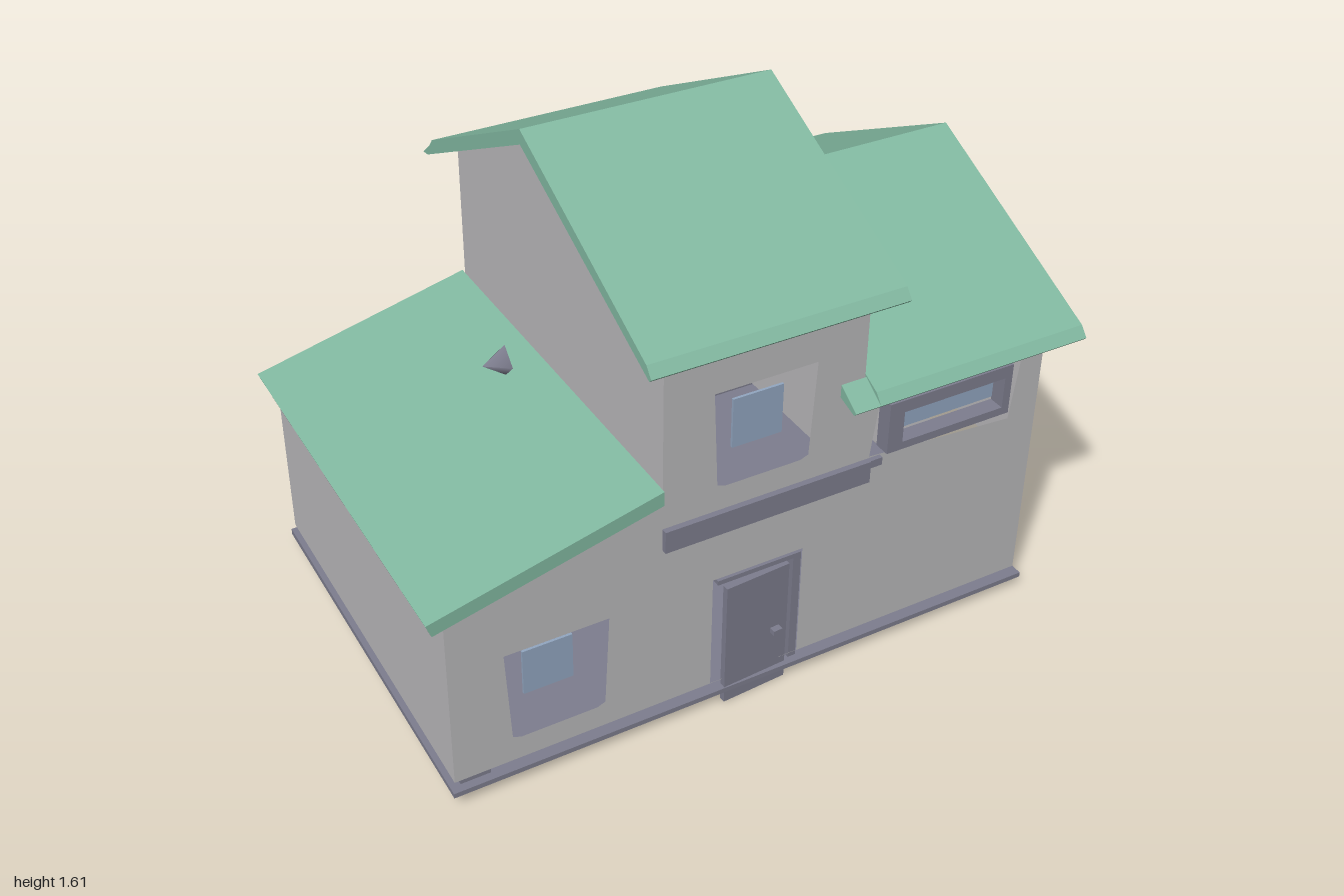
import * as THREE from 'three';

const mat = (name, color, side = THREE.FrontSide) => {
  const m = new THREE.MeshStandardMaterial({ color, side });
  m.name = name;
  return m;
};

export function createModel() {
  const house = new THREE.Group();
  house.name = 'house';
  const wall = mat('wall grey', 0xbab9bb, THREE.DoubleSide);
  const green = mat('roof green', 0x82b9a1);
  const dark = mat('slate trim', 0x7e7e8f);
  const blue = mat('window blue', 0x93a7c1);

  const shape = (pts, holes = []) => {
    const s = new THREE.Shape(pts.map(p => new THREE.Vector2(...p)));
    holes.forEach(h => s.holes.push(new THREE.Path(h.map(p => new THREE.Vector2(...p)))));
    return s;
  };
  const rect = (x0, x1, y0, y1) => [[x0, y0], [x1, y0], [x1, y1], [x0, y1]];
  // Opening with slightly softened lower corners
  const opening = (x0, x1, y0, y1) => [
    [x0 + 0.015, y0 + 0.01], [x0 + 0.04, y0], [x1 - 0.04, y0], [x1 - 0.015, y0 + 0.01], [x1, y1], [x0, y1]];
  const add = (name, geo, material, x = 0, y = 0, z = 0) => {
    const m = new THREE.Mesh(geo, material);
    m.name = name;
    m.position.set(x, y, z);
    house.add(m);
    return m;
  };
  const box = (name, material, x0, x1, y0, y1, z0, z1) =>
    add(name, new THREE.BoxGeometry(x1 - x0, y1 - y0, z1 - z0), material,
      (x0 + x1) / 2, (y0 + y1) / 2, (z0 + z1) / 2);
  const extrude = (s, depth) => new THREE.ExtrudeGeometry(s, { depth, bevelEnabled: false });
  // Profile given as (z, y), swept from x0 to x1
  const sweepX = (name, material, pts, x0, x1) =>
    add(name, extrude(shape(pts), x1 - x0).rotateY(-Math.PI / 2), material, x1);
  // Flat wall given as (z, y), standing at x
  const sideWall = (name, pts, x, holes) =>
    add(name, new THREE.ShapeGeometry(shape(pts, holes)).rotateY(-Math.PI / 2), wall, x);

  const FRONT = 0.72, BACK = -0.53, RIDGE = 0.09;

  // Front and back walls with open windows and doors
  const outline = [[-0.95, 0.08], [0.92, 0.08], [0.92, 0.95], [0.3, 0.95], [0.3, 1.26],
    [-0.32, 1.26], [-0.32, 0.8], [-0.95, 0.645]];
  const upperHoles = [
    opening(-0.17, 0.145, 0.775, 1.08),
    [[0.335, 0.705], [0.82, 0.67], [0.845, 0.885], [0.36, 0.905]]];
  add('frontWall', new THREE.ShapeGeometry(shape(outline, [...upperHoles,
    opening(-0.79, -0.48, 0.155, 0.46), rect(-0.16, 0.13, 0.081, 0.46)])), wall, 0, 0, FRONT);
  add('backWall', new THREE.ShapeGeometry(shape(outline, [...upperHoles,
    opening(0.47, 0.77, 0.155, 0.46), rect(-0.14, 0.15, 0.081, 0.46),
    rect(-0.79, -0.35, 0.081, 0.46)])), wall, 0, 0, BACK);

  // Gabled side walls
  const gable = (y0, eave, peak) => [[BACK, y0], [FRONT, y0], [FRONT, eave], [RIDGE, peak], [BACK, eave]];
  sideWall('wingGableWall', gable(0.08, 0.935, 1.26), 0.92, [opening(0.25, 0.555, 0.16, 0.46)]);
  sideWall('towerGableWallLeft', gable(0.63, 1.25, 1.57), 0.3);
  sideWall('towerGableWallRight', gable(0.63, 1.25, 1.57), -0.32);
  sideWall('shedWall', rect(BACK, FRONT, 0.08, 0.645), -0.95);

  // Gabled roofs and the lean-to roof
  const roofProfile = top => [[0.79, top - 0.375], [0.8, top - 0.365], [0.775, top - 0.335], [RIDGE, top],
    [-0.53, top - 0.305], [-0.55, top - 0.33], [-0.605, top - 0.375], [-0.57, top - 0.37], [RIDGE, top - 0.045]];
  sweepX('towerRoof', green, roofProfile(1.61), -0.4, 0.37);
  sweepX('wingRoof', green, roofProfile(1.3), 0.3, 1);
  sweepX('wingEaveFront', green, [[0.725, 0.945], [0.79, 0.925], [0.8, 0.935], [0.725, 0.985]], 0.22, 0.3);
  sweepX('wingEaveBack', green, [[-0.605, 0.925], [-0.535, 0.945], [-0.535, 0.985]], 0.25, 0.3);
  add('shedRoof', extrude(shape([[-0.985, 0.62], [-0.32, 0.785], [-0.32, 0.83], [-1, 0.66]]), 1.28),
    green, 0, 0, -0.55);

  // Foundation slab with a shallow keel, and small corner feet
  const slab = sweepX('foundation', dark, [[0.735, 0.04], [0.735, 0.056], [-0.545, 0.056], [-0.545, 0.035],
    [RIDGE, 0]], -0.96, 0.94);
  const sp = slab.geometry.attributes.position;
  for (let i = 0; i < sp.count; i++) {
    if (sp.getY(i) < 0.01) sp.setX(i, sp.getX(i) > -0.5 ? -0.05 : -1.78);
  }
  slab.geometry.computeVertexNormals();
  for (const z of [0.67, -0.48]) box('foot', dark, -0.93, -0.84, 0.05, 0.08, z - 0.04, z + 0.04);

  // Parts shared by front and back
  for (const [side, z, s] of [['front', FRONT, 1], ['back', BACK, -1]]) {
    const slice = (name, m, x0, x1, y0, y1, a, b) =>
      box(side + name, m, x0, x1, y0, y1, Math.min(z + s * a, z + s * b), Math.max(z + s * a, z + s * b));
    // Ledge under the tower
    slice('Ledge', dark, -0.32, 0.33, 0.63, 0.7, 0, 0.018);
    slice('LedgeTip', dark, 0.33, 0.37, 0.675, 0.7, 0, 0.015);
    // Upper panes and the wide window frame
    slice('TowerPane', blue, -0.09, 0.065, 0.86, 1.015, -0.045, -0.037);
    slice('WingPane', blue, 0.45, 0.77, 0.75, 0.815, -0.03, -0.022);
    add(side + 'WingFrame', extrude(shape(rect(0.38, 0.8, 0.71, 0.875),
      [rect(0.43, 0.775, 0.735, 0.835)]), 0.05), dark, 0, 0, z - 0.03);
    // Door jamb and lintel
    slice('DoorJamb', dark, 0.105, 0.13, 0.06, 0.44, -0.05, -0.005);
    slice('DoorLintel', dark, -0.14, 0.13, 0.43, 0.445, -0.05, -0.005);
  }

  // Doors, each slightly ajar, with a handle
  const door = (name, x, z, width, angle, side) => {
    const g = new THREE.Group();
    g.name = name;
    const leaf = new THREE.Mesh(new THREE.BoxGeometry(width, 0.42, 0.02), dark);
    leaf.name = 'doorLeaf';
    leaf.position.y = 0.21;
    const handle = new THREE.Mesh(new THREE.BoxGeometry(0.03, 0.015, 0.03), dark);
    handle.name = 'doorHandle';
    handle.position.set(width * 0.3, 0.2, side * 0.015);
    g.add(leaf, handle);
    g.position.set(x, 0, z);
    g.rotation.y = angle;
    house.add(g);
  };
  door('frontDoor', -0.015, 0.715, 0.21, 0.06, 1);
  door('backDoor', -0.015, -0.5, 0.17, 0.35, -1);

  // Ground floor panes and the wide back opening's frame
  box('frontLowerPane', blue, -0.71, -0.56, 0.24, 0.39, 0.65, 0.658);
  box('backLowerPane', blue, 0.54, 0.69, 0.24, 0.39, -0.49, -0.482);
  box('garagePane', blue, -0.76, -0.45, 0.29, 0.35, -0.49, -0.482);
  box('garageLintel', dark, -0.79, -0.35, 0.43, 0.45, -0.53, -0.48);
  box('garageJamb', dark, -0.79, -0.77, 0.056, 0.45, -0.53, -0.48);

  // Small bracket beside the tower
  add('bracket', new THREE.ConeGeometry(0.05, 0.07, 4).rotateZ(Math.PI / 2), dark, -0.505, 0.915, RIDGE);

  // Planter tray with sloping outer side
  const tray = extrude(shape(
    [[0.3, 0.54], [0.92, 0.54], [0.905, 0.77], [0.84, 0.79], [0.34, 0.765]],
    [[[0.35, 0.55], [0.885, 0.55], [0.865, 0.735], [0.38, 0.72]]]), 0.08).rotateX(-Math.PI / 2);
  const tp = tray.attributes.position;
  for (let i = 0; i < tp.count; i++) {
    if (tp.getY(i) > 0.05 && tp.getZ(i) < -0.75) tp.setZ(i, tp.getZ(i) + 0.025);
  }
  tray.computeVertexNormals();
  add('planter', tray, dark);
  box('planterBed', wall, 0.35, 0.87, 0.035, 0.045, -0.73, -0.545);

  // Bushes
  const bush = (name, x, z, r, h, tilt) => {
    const pts = [[0, 0], [0.65, 0], [1, 0.25], [0.85, 0.45], [0.42, 1], [0, 1]]
      .map(([a, b]) => new THREE.Vector2(a * r, b * h));
    add(name, new THREE.LatheGeometry(pts, 7), green, x, 0.07, z).rotation.z = tilt;
  };
  bush('tallBush', 0.7, -0.65, 0.112, 0.21, 0);
  bush('lowBush', 0.5, -0.66, 0.092, 0.13, 0.3);

  return house;
}
